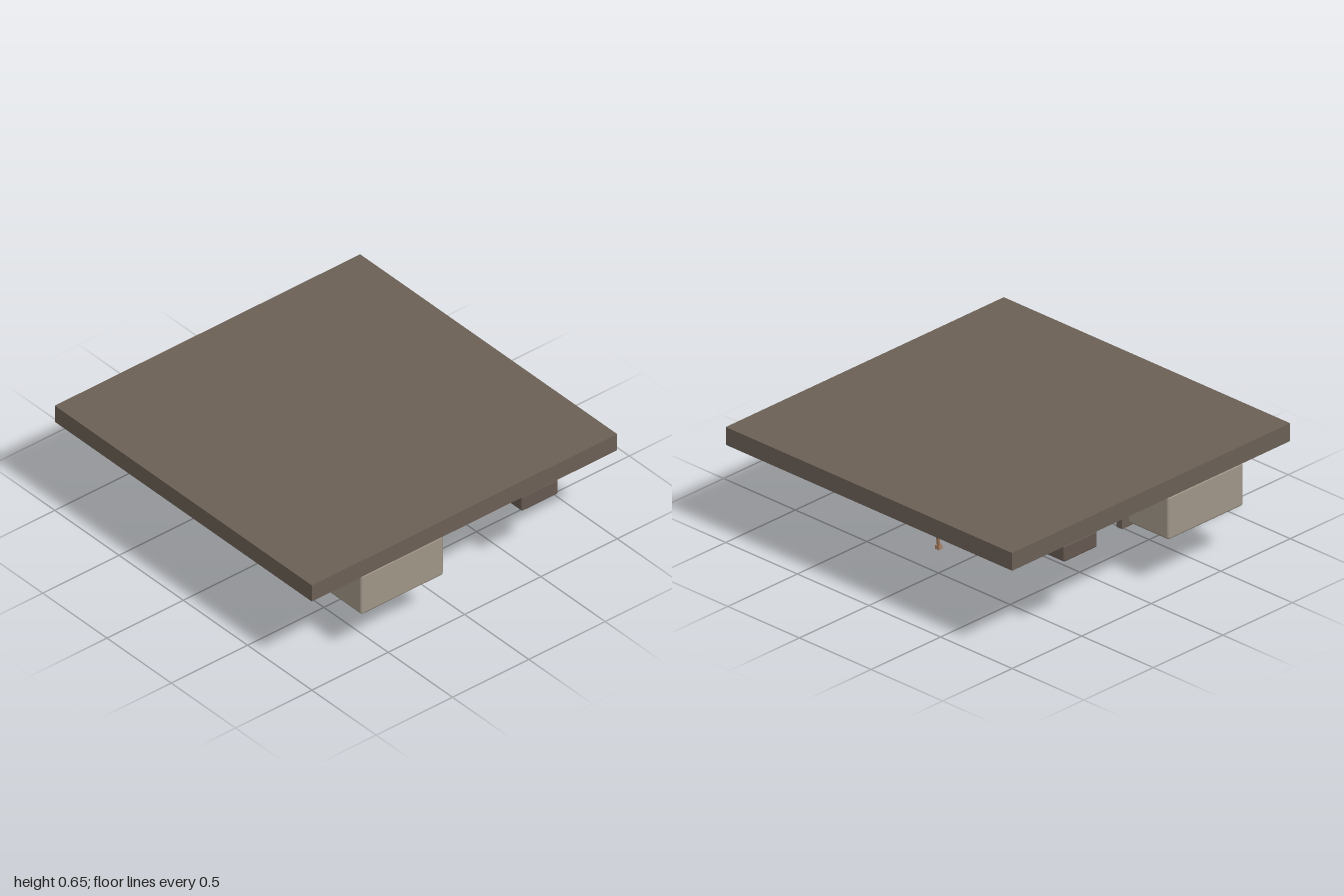
import * as THREE from 'three';
import { RoundedBoxGeometry } from 'three/addons/geometries/RoundedBoxGeometry.js';

const mat = (name, color) => {
  const m = new THREE.MeshStandardMaterial({ color });
  m.name = name;
  return m;
};

export function createModel() {
  const group = new THREE.Group();
  const slabMat = mat('ceiling brown', 0x6b6056);
  const beamMat = mat('beam brown', 0x665951);
  const ductMat = mat('duct grey', 0xa09688);
  const strapMat = mat('strap brown', 0x6b6056);
  const creamMat = mat('panel cream', 0xd9cfbe);
  const copperMat = mat('cable copper', 0xa87f62);

  const add = (name, geometry, material, x = 0, y = 0, z = 0, parent = group) => {
    const mesh = new THREE.Mesh(geometry, material);
    mesh.name = name;
    mesh.position.set(x, y, z);
    parent.add(mesh);
    return mesh;
  };
  const box = (w, h, d) => new THREE.BoxGeometry(w, h, d);

  // Ceiling slab, with the beam and duct running beneath it
  add('ceilingSlab', box(2, 0.1, 2), slabMat, 0, 0.6, 0);
  add('beam', new RoundedBoxGeometry(0.24, 0.095, 1.99, 2, 0.012), beamMat, 0.5, 0.5025, 0);
  add('duct', new RoundedBoxGeometry(0.54, 0.245, 1.99, 2, 0.015), ductMat, -0.4, 0.4275, 0);

  // U-shaped straps holding the duct
  for (const z of [-0.7, 0, 0.7]) {
    const strap = new THREE.Group();
    strap.name = 'ductStrap';
    strap.position.set(-0.4, 0, z);
    group.add(strap);
    for (const side of [-1, 1]) {
      add('strapHanger', box(0.055, 0.26, 0.04), strapMat, side * 0.2925, 0.42, 0, strap);
    }
    add('strapBar', box(0.64, 0.02, 0.04), strapMat, 0, 0.3, 0, strap);
  }

  // Loose access panel leaning off the duct side
  const sidePanel = add('sidePanel', box(0.014, 0.35, 0.594), creamMat, -0.05, 0.28, -0.198);
  sidePanel.rotation.z = Math.atan2(0.16, 0.32);

  // Sagging plate under the duct
  const plate = add('saggingPlate', box(0.445, 0.018, 0.46), ductMat, -0.355, 0.25, -0.225);
  plate.rotation.set(-0.21, 0, 0.018);

  // Hanging cables, some ending in a small connector
  const cable = (points, connector) => {
    const curve = new THREE.CatmullRomCurve3(points.map(p => new THREE.Vector3(...p)));
    add('cable', new THREE.TubeGeometry(curve, 20, 0.009, 8), copperMat);
    for (const [p, flip] of [[points[0], 1], [points[points.length - 1], -1]]) {
      const cap = add('cableEnd', new THREE.CircleGeometry(0.009, 8), copperMat, ...p);
      cap.rotation.x = -flip * Math.PI / 2;
    }
    if (connector) add('cableConnector', box(0.026, 0.022, 0.026), copperMat, ...connector);
  };
  cable([[-0.248, 0.32, 0.348], [-0.226, 0.2, 0.341], [-0.222, 0.1, 0.341], [-0.23, 0.002, 0.35]]);
  cable([[0.428, 0.47, 0.085], [0.443, 0.33, 0.071], [0.44, 0.22, 0.071], [0.403, 0.085, 0.092]],
    [0.402, 0.08, 0.093]);
  cable([[-0.14, 0.41, -0.628], [-0.122, 0.35, -0.61], [-0.12, 0.28, -0.593]],
    [-0.12, 0.279, -0.593]);

  return group;
}
